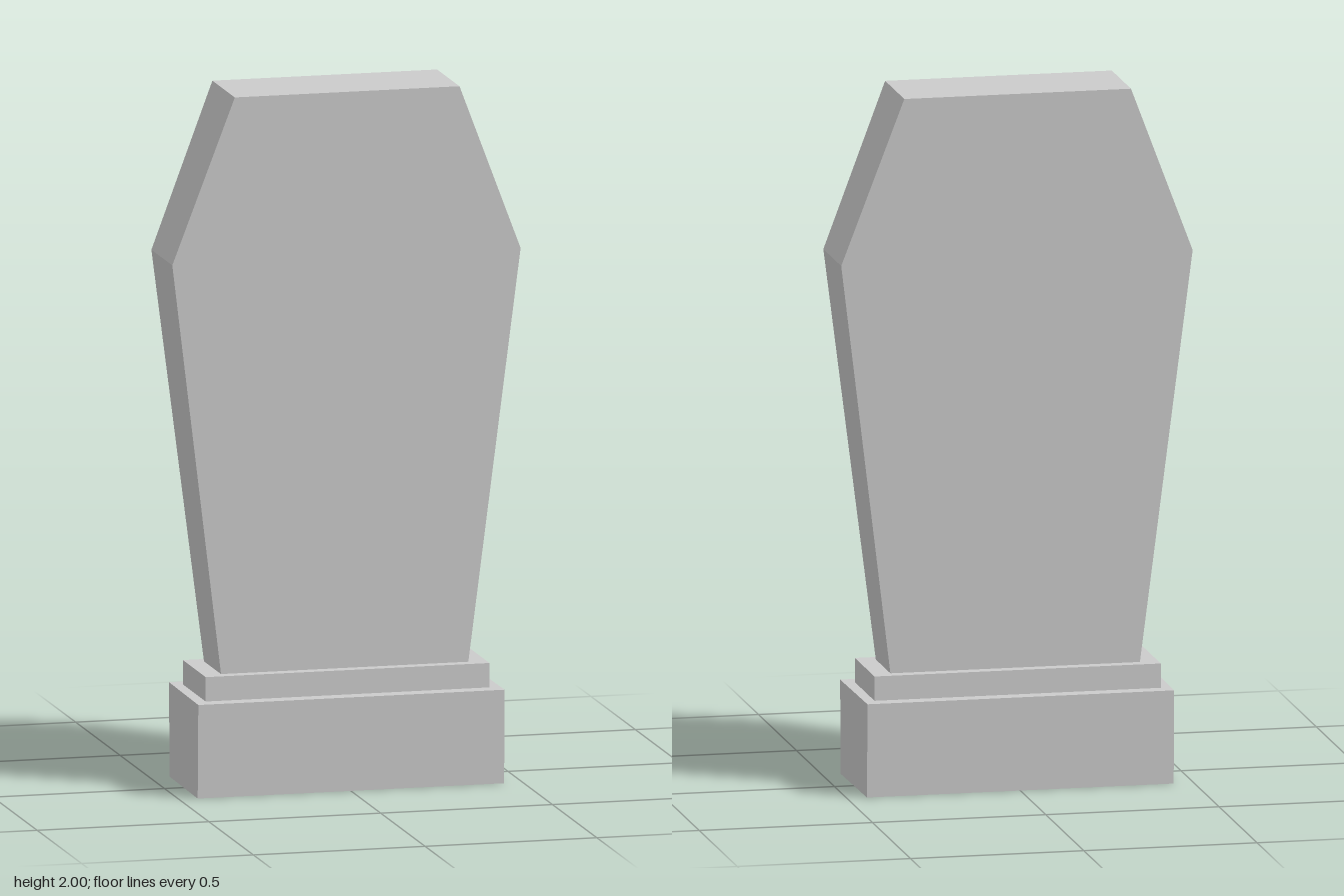
import * as THREE from 'three';

const material = new THREE.MeshStandardMaterial({ color: 0xcccccc, flatShading: true });

function addPart(group, geometry, name) {
  geometry.computeVertexNormals();
  const mesh = new THREE.Mesh(geometry, material);
  mesh.name = name;
  group.add(mesh);
}

// Move every vertex of a geometry by a rule
function reshape(geometry, rule) {
  const pos = geometry.attributes.position;
  const v = new THREE.Vector3();
  for (let i = 0; i < pos.count; i++) {
    v.fromBufferAttribute(pos, i);
    rule(v);
    pos.setXYZ(i, v.x, v.y, v.z);
  }
  return geometry;
}

export function createModel() {
  const group = new THREE.Group();
  group.name = 'gravestone';

  // Plinth, slightly narrower at its foot from front to back
  const plinth = new THREE.BoxGeometry(0.892, 0.27, 2).translate(0, 0.135, 0);
  reshape(plinth, (v) => {
    v.z *= v.y > 0.1 ? 0.172 : 0.165;
    if (v.z < 0) v.x *= 0.992;
  });
  addPart(group, plinth, 'plinth');

  // Step between plinth and slab
  const step = new THREE.BoxGeometry(0.826, 0.07, 0.258).translate(0, 0.305, -0.001);
  addPart(group, step, 'step');

  // Six-sided slab, thickening towards the top
  const outline = [
    [-0.36, 0.34], [0.36, 0.34], [0.507, 1.525],
    [0.327, 2], [-0.327, 2], [-0.507, 1.525],
  ].map(([x, y]) => new THREE.Vector2(x, y));
  const slab = new THREE.ExtrudeGeometry(new THREE.Shape(outline), { depth: 1, bevelEnabled: false });
  reshape(slab, (v) => {
    const t = (v.y - 0.34) / 1.66;
    v.z = v.z > 0.5 ? 0.095 + 0.028 * t : -0.097 - 0.033 * t;
  });
  addPart(group, slab, 'slab');

  return group;
}
